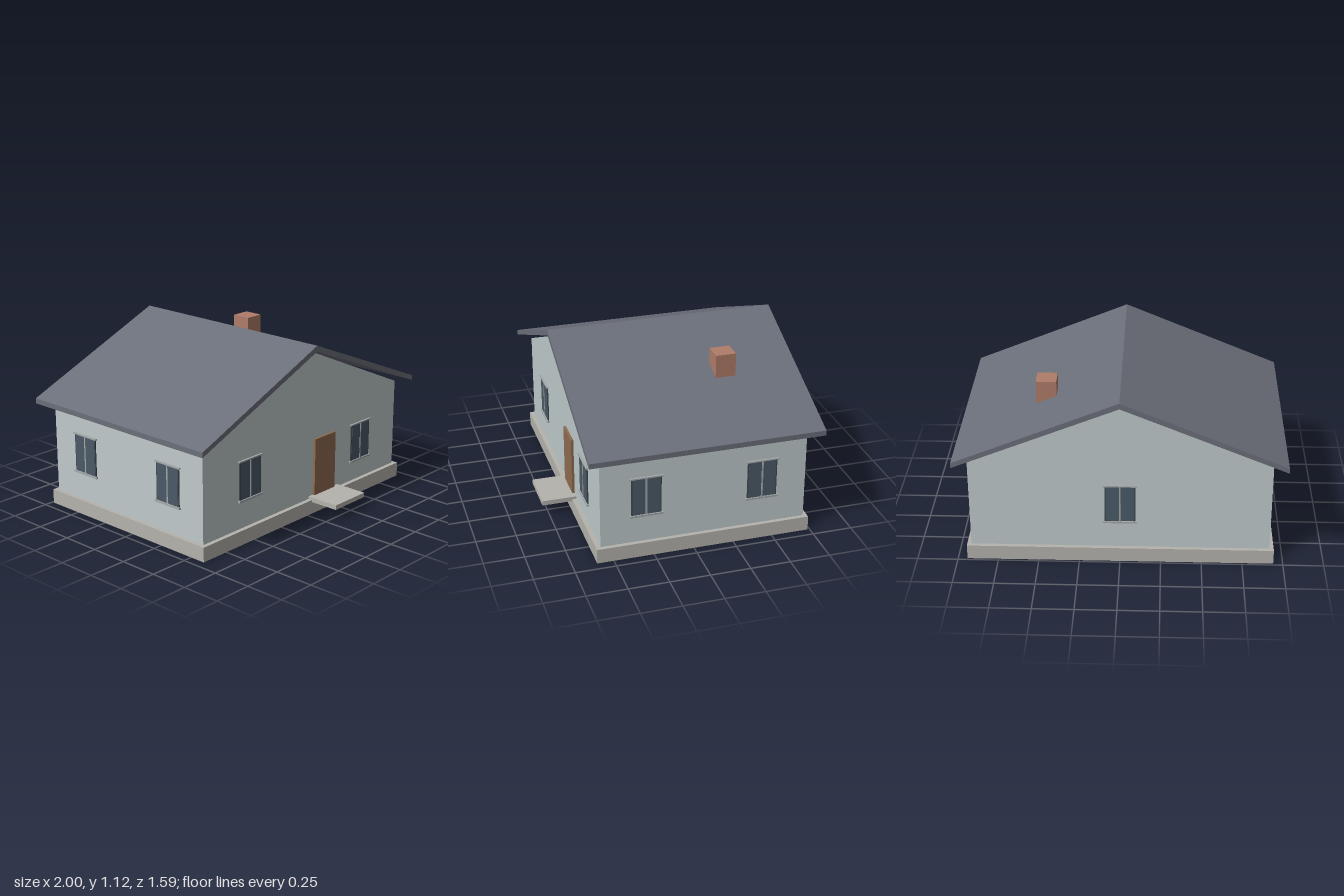
import * as THREE from 'three';

const paint = (color) => new THREE.MeshStandardMaterial({ color, flatShading: true });
const MAT = {
  wall: paint(0xc0cacc), base: paint(0xb5b3ad), roof: paint(0x6b6f7a), brick: paint(0xb07c69),
  door: paint(0x8f6b50), glass: paint(0x4b5a67), frame: paint(0x3f474d), trim: paint(0xa3a9aa),
};

// Box given by its extents on each axis
function box(name, mat, [x0, x1], [y0, y1], [z0, z1]) {
  const mesh = new THREE.Mesh(new THREE.BoxGeometry(x1 - x0, y1 - y0, z1 - z0), mat);
  mesh.position.set((x0 + x1) / 2, (y0 + y1) / 2, (z0 + z1) / 2);
  mesh.name = name;
  return mesh;
}

// Outline in x, y extruded from z0 to z1
function prism(name, mat, points, z0, z1) {
  const shape = new THREE.Shape(points.map(([x, y]) => new THREE.Vector2(x, y)));
  const geo = new THREE.ExtrudeGeometry(shape, { depth: z1 - z0, bevelEnabled: false });
  geo.translate(0, 0, z0);
  const mesh = new THREE.Mesh(geo, mat);
  mesh.name = name;
  return mesh;
}

// Two-pane window facing +z, centred on its own origin at the wall surface
function makeWindow(name, x, y, z, turn) {
  const g = new THREE.Group();
  g.name = name;
  g.add(box('windowFrame', MAT.frame, [-0.093, 0.093], [-0.12, 0.12], [-0.005, 0.007]));
  for (const s of [-1, 1]) {
    const edges = [s * 0.006, s * 0.086].sort((a, b) => a - b);
    g.add(box('windowPane', MAT.glass, edges, [-0.118, 0.118], [0, 0.009]));
  }
  g.add(box('mullion', MAT.trim, [-0.005, 0.005], [-0.12, 0.12], [0, 0.011]));
  g.add(box('lintel', MAT.trim, [-0.103, 0.103], [0.12, 0.129], [-0.005, 0.013]));
  g.add(box('sill', MAT.trim, [-0.103, 0.103], [-0.132, -0.12], [-0.005, 0.015]));
  g.position.set(x, y, z);
  g.rotation.y = turn;
  return g;
}

export function createModel() {
  const house = new THREE.Group();
  house.name = 'house';

  // Foundation and gabled walls
  house.add(box('foundation', MAT.base, [-0.942, 0.942], [0, 0.093], [-0.736, 0.603]));
  house.add(prism('walls', MAT.wall, [
    [-0.916, 0.09], [0.916, 0.09], [0.916, 0.672], [0, 1.077], [-0.916, 0.672],
  ], -0.71, 0.575));

  // Overhanging roof slab
  house.add(prism('roof', MAT.roof, [
    [-1, 0.675], [0, 1.083], [1, 0.675], [1, 0.708], [0, 1.12], [-1, 0.708],
  ], -0.795, 0.655));

  // Chimney
  house.add(box('chimney', MAT.brick, [0.395, 0.52], [0.8, 1.052], [-0.39, -0.263]));

  // Door and step
  house.add(box('door', MAT.door, [0.08, 0.28], [0.1, 0.485], [0.57, 0.591]));
  house.add(box('doorStep', MAT.base, [0.04, 0.327], [0.08, 0.11], [0.57, 0.795]));

  // Windows on all four walls
  house.add(makeWindow('frontRightWindow', -0.515, 0.398, 0.575, 0));
  house.add(makeWindow('frontLeftWindow', 0.548, 0.354, 0.575, 0));
  house.add(makeWindow('backWindow', 0, 0.398, -0.71, Math.PI));
  for (const s of [-1, 1]) {
    for (const z of [0.293, -0.43]) {
      house.add(makeWindow('sideWindow', s * 0.916, 0.398, z, s * Math.PI / 2));
    }
  }
  return house;
}
